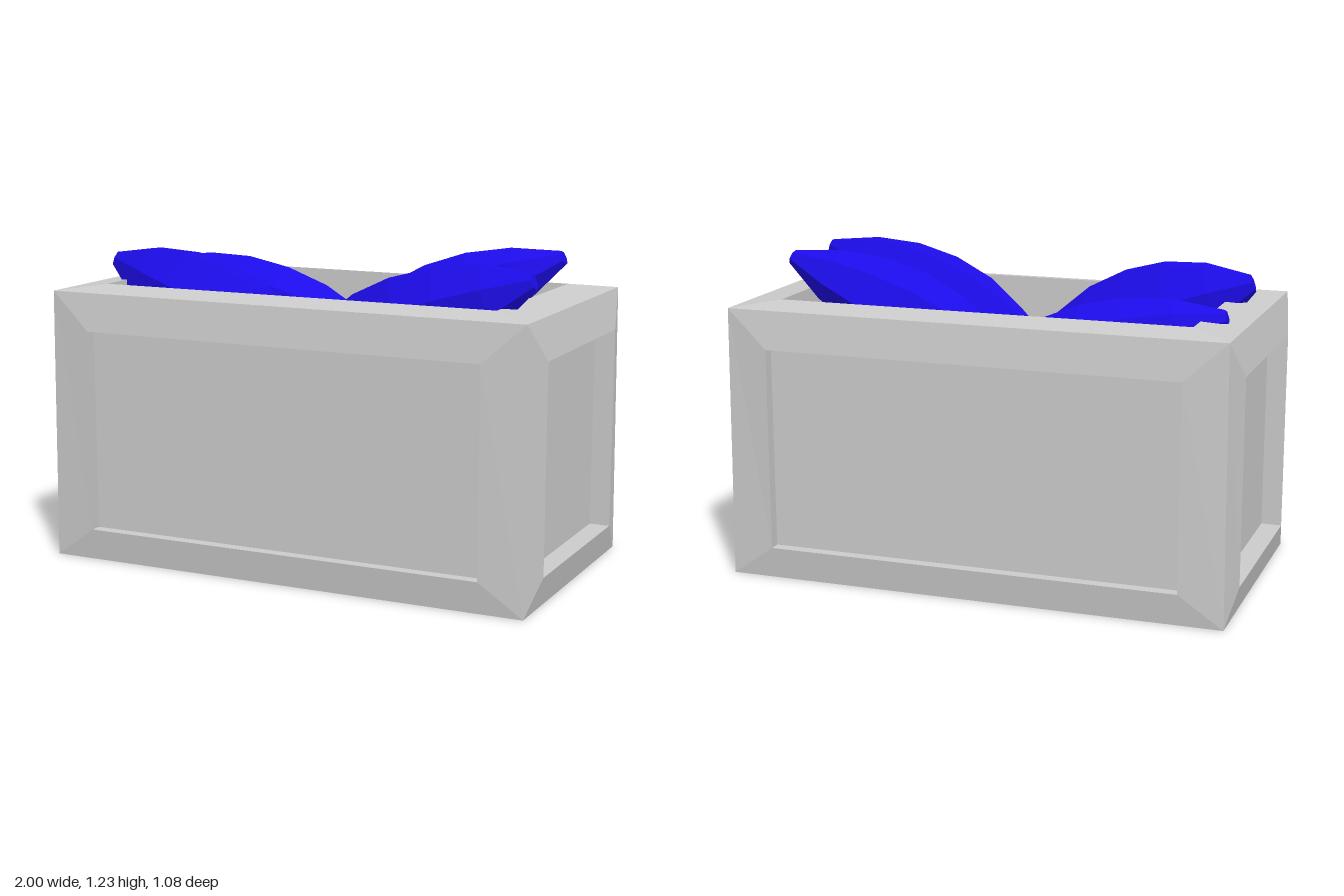
import * as THREE from 'three';

const grey = new THREE.MeshStandardMaterial({ color: 0xcccccc, flatShading: true, side: THREE.DoubleSide });
const blue = new THREE.MeshStandardMaterial({ color: 0x1d0ce8, flatShading: true });

// One crate side: a sloped frame, the walls of its recess and the sunken panel.
// Corners run counter-clockwise as seen from outside.
function framedSide(name, outer, inner, recess) {
  const deep = inner.map((p) => p.map((c, i) => c + recess[i]));
  const pos = [];
  const quad = (a, b, c, d) => pos.push(...a, ...b, ...c, ...a, ...c, ...d);
  for (let i = 0; i < 4; i++) {
    const j = (i + 1) % 4;
    quad(outer[i], outer[j], inner[j], inner[i]);
    quad(inner[i], inner[j], deep[j], deep[i]);
  }
  quad(...deep);
  const geo = new THREE.BufferGeometry();
  geo.setAttribute('position', new THREE.Float32BufferAttribute(pos, 3));
  geo.computeVertexNormals();
  const mesh = new THREE.Mesh(geo, grey);
  mesh.name = name;
  return mesh;
}

function createCrate() {
  const crate = new THREE.Group();
  crate.name = 'crate';
  const bx = 0.975, bz = 0.525, tx = 0.967, tz = 0.52, h = 1.052; // corners, foot and top
  const ix = 0.805, iz = 0.388, y0 = 0.122, y1 = 0.905; // panel openings
  const turned = (pts) => pts.map(([x, y, z]) => [-x, y, -z]);

  // long walls
  const longOuter = [[-bx, 0, bz], [bx, 0, bz], [tx, h, tz], [-tx, h, tz]];
  const longInner = [[-ix, y0, 0.54], [ix, y0, 0.54], [ix, y1, 0.54], [-ix, y1, 0.54]];
  crate.add(framedSide('frontWall', longOuter, longInner, [0, 0, -0.045]));
  crate.add(framedSide('backWall', turned(longOuter), turned(longInner), [0, 0, 0.045]));

  // end walls
  const endOuter = [[bx, 0, bz], [bx, 0, -bz], [tx, h, -tz], [tx, h, tz]];
  const endInner = [[1, y0, iz], [1, y0, -iz], [1, y1, -iz], [1, y1, iz]];
  crate.add(framedSide('leftWall', endOuter, endInner, [-0.08, 0, 0]));
  crate.add(framedSide('rightWall', turned(endOuter), turned(endInner), [0.08, 0, 0]));

  // rim with the deep well that holds the contents; the underside stays open
  const rimOuter = [[-tx, h, tz], [tx, h, tz], [tx, h, -tz], [-tx, h, -tz]];
  const rimInner = [[-ix, 1.072, iz], [ix, 1.072, iz], [ix, 1.072, -iz], [-ix, 1.072, -iz]];
  crate.add(framedSide('rimAndWell', rimOuter, rimInner, [0, -0.69, 0]));
  return crate;
}

// Faceted spindle lying from its inner end to its outer tip, its middle bowed along z.
const girth = [0.18, 0.58, 0.9, 1, 0.92, 0.65, 0.17];
function createBody(name, inner, tip, halfWidth, halfHeight, roll, bow) {
  const a = new THREE.Vector3(...inner), b = new THREE.Vector3(...tip);
  const axis = b.clone().sub(a);
  const length = axis.length();
  axis.normalize();
  const side = new THREE.Vector3().crossVectors(axis, new THREE.Vector3(0, 1, 0)).normalize();
  const up = new THREE.Vector3().crossVectors(side, axis);
  const sway = bow * Math.sign(axis.x);

  const geo = new THREE.CylinderGeometry(1, 1, 1, 7, girth.length - 1);
  geo.rotateY(roll);
  const p = geo.attributes.position;
  for (let i = 0; i < p.count; i++) {
    const t = p.getY(i) + 0.5;
    const r = girth[Math.round(t * (girth.length - 1))];
    const x = p.getX(i) * r * halfWidth + sway * Math.sin(Math.PI * t);
    p.setXYZ(i, x, p.getY(i) * length, p.getZ(i) * r * halfHeight);
  }
  const basis = new THREE.Matrix4().makeBasis(side, axis, up);
  geo.applyMatrix4(basis.setPosition(a.add(b).multiplyScalar(0.5)));
  geo.computeVertexNormals();
  const mesh = new THREE.Mesh(geo, blue);
  mesh.name = name;
  return mesh;
}

export function createModel() {
  const model = new THREE.Group();
  model.name = 'filledCrate';
  model.add(createCrate());

  const contents = new THREE.Group();
  contents.name = 'contents';
  // inner end, outer tip, half width, half height, roll, bow
  const bodies = [
    // upper layer
    ['upperBackRight', [0.13, 0.78, -0.29], [-0.89, 1.08, -0.22], 0.175, 0.17, 0, 0.035],
    ['upperBackLeft', [-0.09, 0.8, -0.12], [0.86, 1.2, -0.17], 0.18, 0.165, 0.1, 0.025],
    ['upperFrontRight', [0.02, 0.8, 0.16], [-0.9, 1.14, 0.17], 0.15, 0.205, 0.5, 0.045],
    ['upperFrontLeft', [-0.08, 0.82, 0.18], [0.91, 1.17, 0.3], 0.13, 0.185, 0.45, 0.015],
    // lower layer
    ['lowerBackLeft', [-0.02, 0.6, -0.26], [0.72, 0.85, -0.21], 0.12, 0.16, 0.2, 0],
    ['middleRight', [0.13, 0.65, 0.01], [-0.81, 0.93, 0.04], 0.1, 0.18, 0, 0.02],
    ['middleLeft', [-0.09, 0.44, 0.1], [0.8, 0.52, 0.1], 0.115, 0.22, 0.3, 0.01],
    ['lowerFrontRight', [0.08, 0.43, 0.22], [-0.79, 0.43, 0.2], 0.14, 0.18, 0.4, 0.01],
  ];
  for (const body of bodies) contents.add(createBody(...body));
  model.add(contents);
  return model;
}
